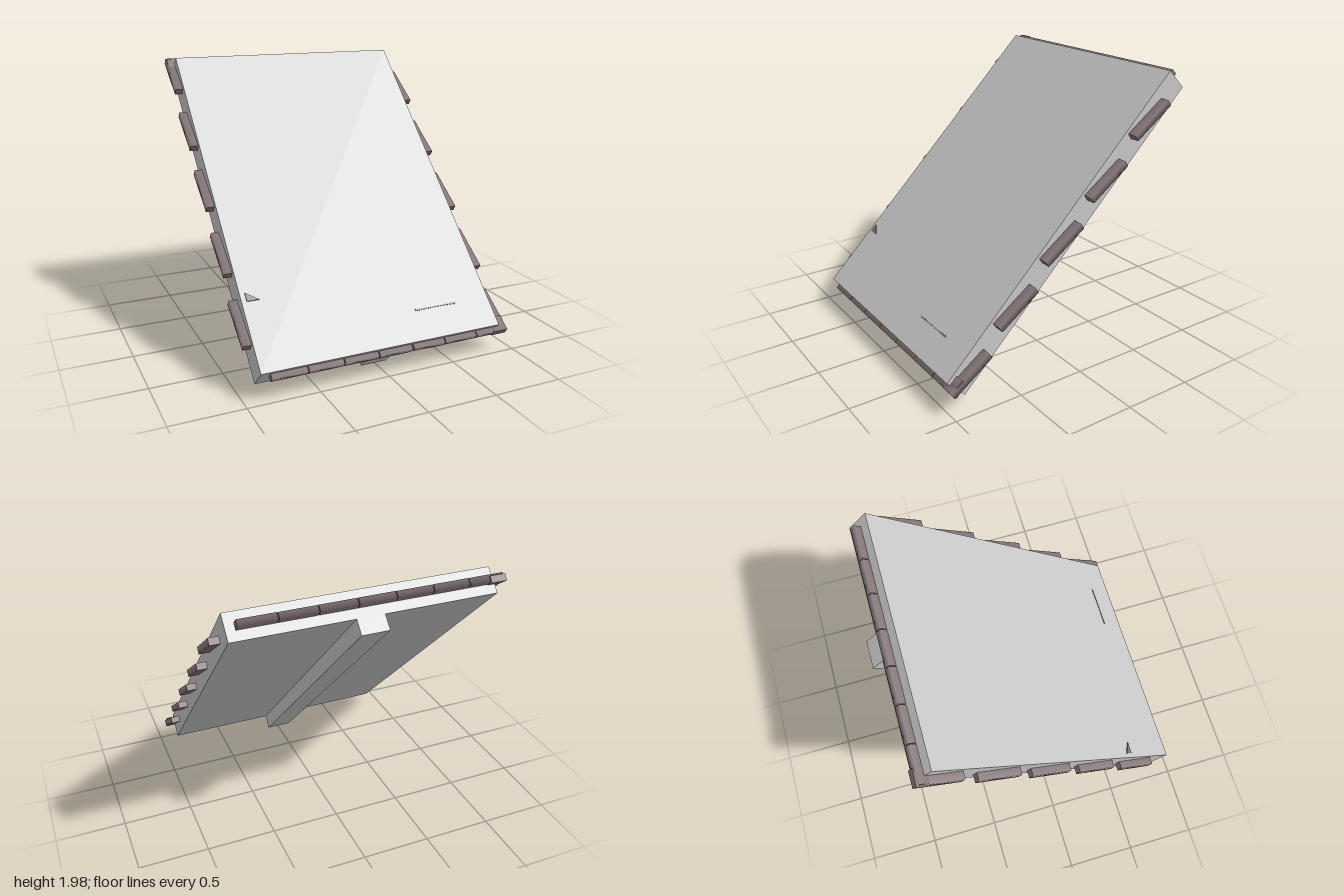
import * as THREE from 'three';

const grey = new THREE.MeshStandardMaterial({ color: 0xcccccc });
const brown = new THREE.MeshStandardMaterial({ color: 0x857679 });

const LENGTH = 2.517; // along the slope
const THICK = 0.184;
const MID_X = -0.01;

function add(parent, name, geometry, material, x, y, z) {
  const mesh = new THREE.Mesh(geometry, material);
  mesh.name = name;
  mesh.position.set(x, y, z);
  parent.add(mesh);
  return mesh;
}

// Four-sided bar, shaded smoothly around its long axis (z) with flat ends
function barGeometry(width, thickness, length) {
  return new THREE.CylinderGeometry(Math.SQRT1_2, Math.SQRT1_2, 1, 4)
    .rotateY(Math.PI / 4)
    .rotateX(Math.PI / 2)
    .scale(width, thickness, length);
}

export function createModel() {
  const model = new THREE.Group();
  model.name = 'slopedPanel';

  // Local frame: y is the panel normal, z runs down the slope, y = 0 is the top face
  const panel = new THREE.Group();
  panel.name = 'panel';
  panel.position.set(0, 1.1, 0.1);
  panel.rotation.x = Math.PI / 4;
  model.add(panel);

  add(panel, 'slab', new THREE.BoxGeometry(1.78, THICK, LENGTH), grey, MID_X, -THICK / 2, 0);
  add(panel, 'backRail', new THREE.BoxGeometry(0.19, 0.106, LENGTH), grey, MID_X, -THICK - 0.053, 0);

  // Spaced bars along both long sides, tipped slightly off the slope
  const sideBar = barGeometry(0.11, 0.047, 0.348);
  for (let i = 0; i < 5; i++) {
    const left = add(panel, 'leftSideBar', sideBar, brown, 0.893, -0.074, 1.128 - i * 0.509);
    const right = add(panel, 'rightSideBar', sideBar, brown, -0.9, -0.08, 0.886 - i * 0.509);
    left.rotation.x = right.rotation.x = -0.166;
  }

  // Closely spaced bars along the upper and lower ends
  const endBar = barGeometry(0.11, 0.047, 0.248);
  const upperTilt = [0, 0.01, -0.01, 0.012, 0, -0.01, 0.01];
  const lowerTilt = [0, 0, 0.01, 0, 0.06, 0, 0];
  for (let i = 0; i < 7; i++) {
    const upper = add(panel, 'upperEndBar', endBar, brown, -0.826 + i * 0.2535, -0.094, -LENGTH / 2 + 0.002);
    const lower = add(panel, 'lowerEndBar', endBar, brown, -0.705 + i * 0.2545, -0.053, LENGTH / 2 - 0.018);
    upper.rotation.set(0, Math.PI / 2, upperTilt[i]);
    lower.rotation.set(0, Math.PI / 2, 0);
    lower.rotateX(lowerTilt[i]);
  }

  // Corner of an embedded chip breaking through the top face
  const chip = new THREE.Shape([
    new THREE.Vector2(-0.865, -0.711),
    new THREE.Vector2(-0.865, -0.771),
    new THREE.Vector2(-0.78, -0.771),
  ]);
  const chipGeometry = new THREE.ExtrudeGeometry(chip, { depth: 0.02, bevelEnabled: false }).rotateX(-Math.PI / 2);
  add(panel, 'surfaceChip', chipGeometry, brown, 0, -0.012, 0);

  // Thin sliver showing through the top face, narrowing towards the middle
  for (const side of [-1, 1]) {
    const sliver = new THREE.Shape([
      new THREE.Vector2(0, -0.002),
      new THREE.Vector2(side * 0.162, -0.007),
      new THREE.Vector2(side * 0.162, 0.007),
      new THREE.Vector2(0, 0.002),
    ]);
    const geometry = new THREE.ExtrudeGeometry(sliver, { depth: 0.01, bevelEnabled: false }).rotateX(-Math.PI / 2);
    add(panel, 'surfaceSliver', geometry, brown, 0.447, -0.006, 1.04);
  }

  return model;
}
